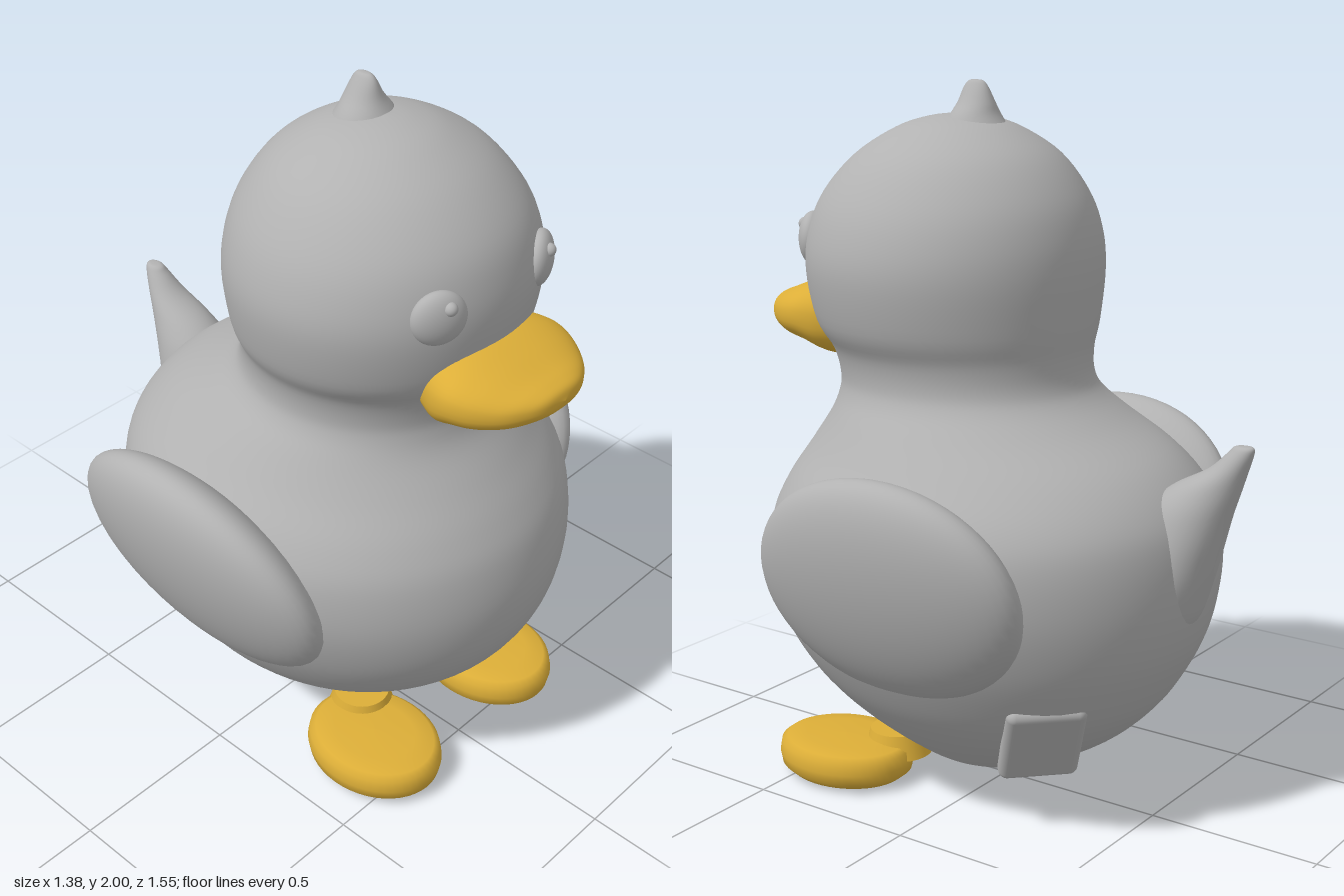
import * as THREE from 'three';
import { RoundedBoxGeometry } from 'three/addons/geometries/RoundedBoxGeometry.js';

const gray = new THREE.MeshStandardMaterial({ color: 0xb2b2b2 });
gray.name = 'plain gray';
const yellow = new THREE.MeshStandardMaterial({ color: 0xdcae38 });
yellow.name = 'warm yellow';

// Smooth loft through rings given as [y, zFront, zBack, halfWidth]; power > 2 squares the rings
function loft(rings, rows, cols, power = 2) {
  const curve = (f) => new THREE.CatmullRomCurve3(rings.map(f), false, 'catmullrom', 0.5);
  const depth = curve((r) => new THREE.Vector3(r[0], r[1], r[2]));
  const width = curve((r) => new THREE.Vector3(r[3], 0, 0));
  const bulge = (v) => Math.sign(v) * Math.abs(v) ** (2 / power);
  const pos = [], index = [];
  for (let i = 0; i <= rows; i++) {
    const d = depth.getPoint(i / rows);
    const w = Math.max(0, width.getPoint(i / rows).x);
    for (let j = 0; j < cols; j++) {
      const a = (j / cols) * Math.PI * 2;
      pos.push(w * bulge(Math.sin(a)), d.x, (d.y + d.z) / 2 + ((d.y - d.z) / 2) * bulge(Math.cos(a)));
      if (i === rows) continue;
      const p = i * cols + j, q = i * cols + ((j + 1) % cols);
      index.push(p, q, q + cols, p, q + cols, p + cols);
    }
  }
  const g = new THREE.BufferGeometry();
  g.setAttribute('position', new THREE.Float32BufferAttribute(pos, 3));
  g.setIndex(index);
  g.computeVertexNormals();
  return g;
}

function ellipsoid(rx, ry, rz) {
  return new THREE.SphereGeometry(1, 48, 32).scale(rx, ry, rz);
}

export function createModel() {
  const model = new THREE.Group();
  const add = (name, geometry, material, x = 0, y = 0, z = 0) => {
    const mesh = new THREE.Mesh(geometry, material);
    mesh.name = name;
    mesh.position.set(x, y, z);
    model.add(mesh);
    return mesh;
  };

  // Round belly, neck and head in one skin
  add('bodyAndHead', loft([
    [0.07, 0.04, 0.04, 0], [0.08, 0.14, -0.08, 0.11], [0.11, 0.24, -0.2, 0.21],
    [0.2, 0.4, -0.36, 0.33], [0.3, 0.53, -0.47, 0.43], [0.4, 0.62, -0.54, 0.5],
    [0.52, 0.68, -0.595, 0.56], [0.66, 0.7, -0.62, 0.6], [0.8, 0.68, -0.615, 0.6],
    [0.9, 0.635, -0.58, 0.56], [1.0, 0.57, -0.49, 0.48], [1.09, 0.51, -0.34, 0.41],
    [1.15, 0.49, -0.26, 0.365], [1.2, 0.49, -0.23, 0.35], [1.27, 0.51, -0.225, 0.36],
    [1.35, 0.555, -0.235, 0.4], [1.49, 0.58, -0.245, 0.425], [1.6, 0.57, -0.235, 0.41],
    [1.7, 0.53, -0.2, 0.365], [1.8, 0.44, -0.125, 0.285], [1.87, 0.33, -0.02, 0.175],
    [1.9, 0.24, 0.07, 0.085], [1.91, 0.155, 0.155, 0],
  ], 110, 72), gray);

  // Upturned tail
  add('tail', loft([
    [0.52, -0.5, -0.55, 0.05], [0.6, -0.45, -0.615, 0.1], [0.7, -0.45, -0.65, 0.125],
    [0.8, -0.45, -0.68, 0.12], [0.9, -0.47, -0.71, 0.1], [0.97, -0.54, -0.735, 0.075],
    [1.03, -0.645, -0.755, 0.05], [1.08, -0.7, -0.772, 0.03], [1.1, -0.72, -0.772, 0.018],
    [1.103, -0.75, -0.75, 0],
  ], 40, 32), gray);

  // Feather tuft on the crown
  add('tuft', loft([
    [1.86, 0.2, 0.0, 0.1], [1.905, 0.17, 0.03, 0.075], [1.94, 0.15, 0.043, 0.048],
    [1.98, 0.135, 0.06, 0.024], [1.997, 0.12, 0.075, 0.012], [2.0, 0.1, 0.1, 0],
  ], 24, 24), gray);

  // Broad bill, lofted forwards: rings are [z, -bottom, -top, halfWidth]
  add('bill', loft([
    [0.46, -1.21, -1.44, 0.19], [0.52, -1.21, -1.44, 0.22], [0.58, -1.235, -1.432, 0.23],
    [0.64, -1.248, -1.415, 0.212], [0.7, -1.268, -1.393, 0.17], [0.74, -1.29, -1.38, 0.122],
    [0.765, -1.312, -1.366, 0.07], [0.775, -1.34, -1.34, 0],
  ], 40, 48, 2.4).rotateX(Math.PI / 2), yellow);

  const footProfile = [[0, 0.005], [0.6, 0.005], [0.85, 0.015], [0.97, 0.035], [1, 0.065],
    [0.97, 0.098], [0.88, 0.112], [0.6, 0.12], [0, 0.122]].map((p) => new THREE.Vector2(...p));

  for (const [side, s] of [['left', 1], ['right', -1]]) {
    // Wing leaning outwards, front end slightly low
    const wing = add(side + 'Wing', ellipsoid(0.13, 0.33, 0.425), gray, s * 0.532, 0.715, 0.005);
    wing.rotation.set(0.14, 0, -s * 0.3, 'ZYX');

    // Bulging eye with a small bead
    const eye = add(side + 'Eye', ellipsoid(0.074, 0.075, 0.038), gray, s * 0.195, 1.56, 0.522);
    eye.rotation.y = s * 0.5;
    add(side + 'Pupil', ellipsoid(0.018, 0.018, 0.018), gray, s * 0.19, 1.597, 0.555);

    // Flat oval foot and short ankle
    add(side + 'Foot', new THREE.LatheGeometry(footProfile, 48).scale(0.172, 1, 0.21), yellow, s * 0.253, 0, 0.392);
    add(side + 'Ankle', new THREE.CylinderGeometry(0.08, 0.1, 0.07, 32), yellow, s * 0.17, 0.108, 0.265);
  }

  // Rounded cover set into the lower back
  const cover = add('backCover', new RoundedBoxGeometry(0.22, 0.28, 0.06, 4, 0.025), gray, 0.28, 0.285, -0.315);
  cover.lookAt(0.28 + 0.6, 0.285 - 0.5, -0.315 - 0.6);

  return model;
}
